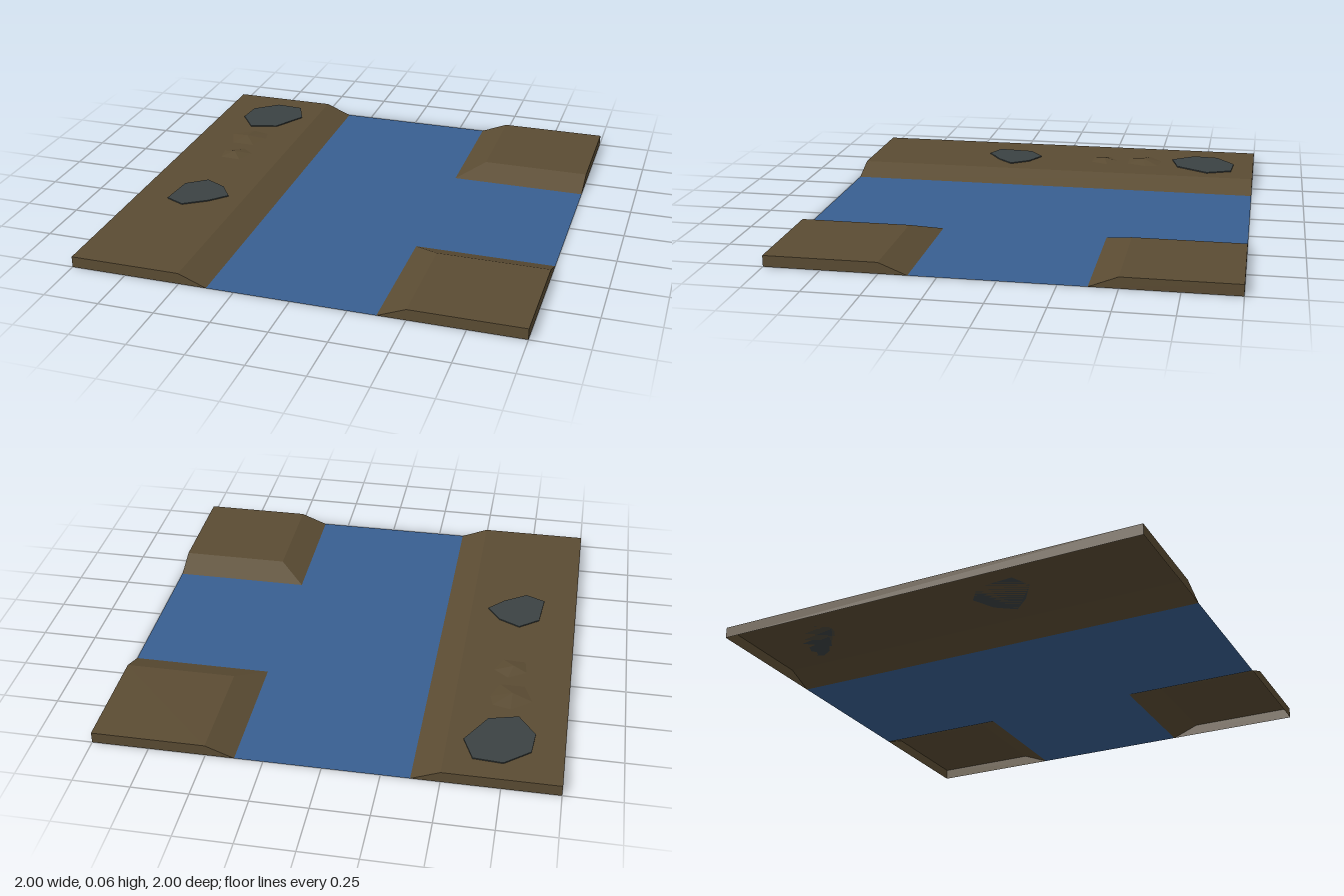
import * as THREE from 'three';

const H = 0.05; // height of the banks above the water

const material = (name, color) =>
  new THREE.MeshStandardMaterial({ name, color, flatShading: true, side: THREE.DoubleSide });

// Flat-shaded geometry from a list of [x, y, z] triangle corners
function fromCorners(corners) {
  const geo = new THREE.BufferGeometry();
  geo.setAttribute('position', new THREE.Float32BufferAttribute(corners.flat(), 3));
  geo.computeVertexNormals();
  return geo;
}

// Hollow, open-bottomed bank lofted from a base rectangle to a top rectangle
function bankGeometry(base, top) {
  const ring = ([x0, x1, z0, z1], y) => [[x0, y, z0], [x0, y, z1], [x1, y, z1], [x1, y, z0]];
  const b = ring(base, 0), t = ring(top, H);
  const corners = [t[0], t[1], t[2], t[0], t[2], t[3]];
  for (let i = 0; i < 4; i++) {
    const j = (i + 1) % 4;
    corners.push(b[i], b[j], t[j], b[i], t[j], t[i]);
  }
  return fromCorners(corners);
}

// Low faceted heap: a fan from an outline on the ground to its peak
function moundGeometry(peak, outline) {
  const corners = [];
  outline.forEach(([x, z], i) => {
    const [nx, nz] = outline[(i + 1) % outline.length];
    corners.push([x, H, z], peak, [nx, H, nz]);
  });
  return fromCorners(corners);
}

// Thin stone slab from an outline in x, z
function slabGeometry(outline) {
  const shape = new THREE.Shape(outline.map(([x, z]) => new THREE.Vector2(x, -z)));
  const geo = new THREE.ExtrudeGeometry(shape, { depth: 0.005, bevelEnabled: false });
  return geo.rotateX(-Math.PI / 2).translate(0, H, 0);
}

export function createModel() {
  const group = new THREE.Group();
  const earth = material('earth brown', 0x5b4c33);
  const water = material('water blue', 0x385f91);
  const stone = material('stone grey', 0x3b4243);

  const add = (name, geo, mat) => {
    const mesh = new THREE.Mesh(geo, mat);
    mesh.name = name;
    group.add(mesh);
  };

  // T-shaped river surface
  const e = 0.375;
  const river = new THREE.Shape(
    [[-e, -1], [e, -1], [e, -e], [1, -e], [1, e], [e, e], [e, 1], [-e, 1]]
      .map(([x, y]) => new THREE.Vector2(x, y)));
  add('river', new THREE.ShapeGeometry(river).rotateX(-Math.PI / 2), water);

  // Long bank and the two corner banks
  add('longBank', bankGeometry([-1, -e, -1, 1], [-1, -0.5, -1, 1]), earth);
  add('backCornerBank', bankGeometry([e, 1, -1, -e], [0.5, 1, -1, -0.5]), earth);
  add('frontCornerBank', bankGeometry([e, 1, e, 1], [0.5, 1, 0.5, 1]), earth);

  // Stone slabs
  add('backSlab', slabGeometry([[-0.75, -0.9], [-0.62, -0.89], [-0.57, -0.77], [-0.66, -0.615],
    [-0.79, -0.58], [-0.87, -0.69], [-0.86, -0.81]]), stone);
  add('frontSlab', slabGeometry([[-0.74, 0.11], [-0.64, 0.16], [-0.58, 0.245], [-0.65, 0.32],
    [-0.755, 0.39], [-0.845, 0.35], [-0.83, 0.18]]), stone);

  // Earth mounds
  add('backMound', moundGeometry([-0.75, 0.065, -0.43], [[-0.75, -0.53], [-0.67, -0.51],
    [-0.655, -0.45], [-0.69, -0.355], [-0.8, -0.355], [-0.84, -0.46]]), earth);
  add('frontMound', moundGeometry([-0.74, 0.065, -0.225], [[-0.72, -0.3], [-0.655, -0.25],
    [-0.69, -0.165], [-0.79, -0.17], [-0.8, -0.25]]), earth);

  return group;
}
